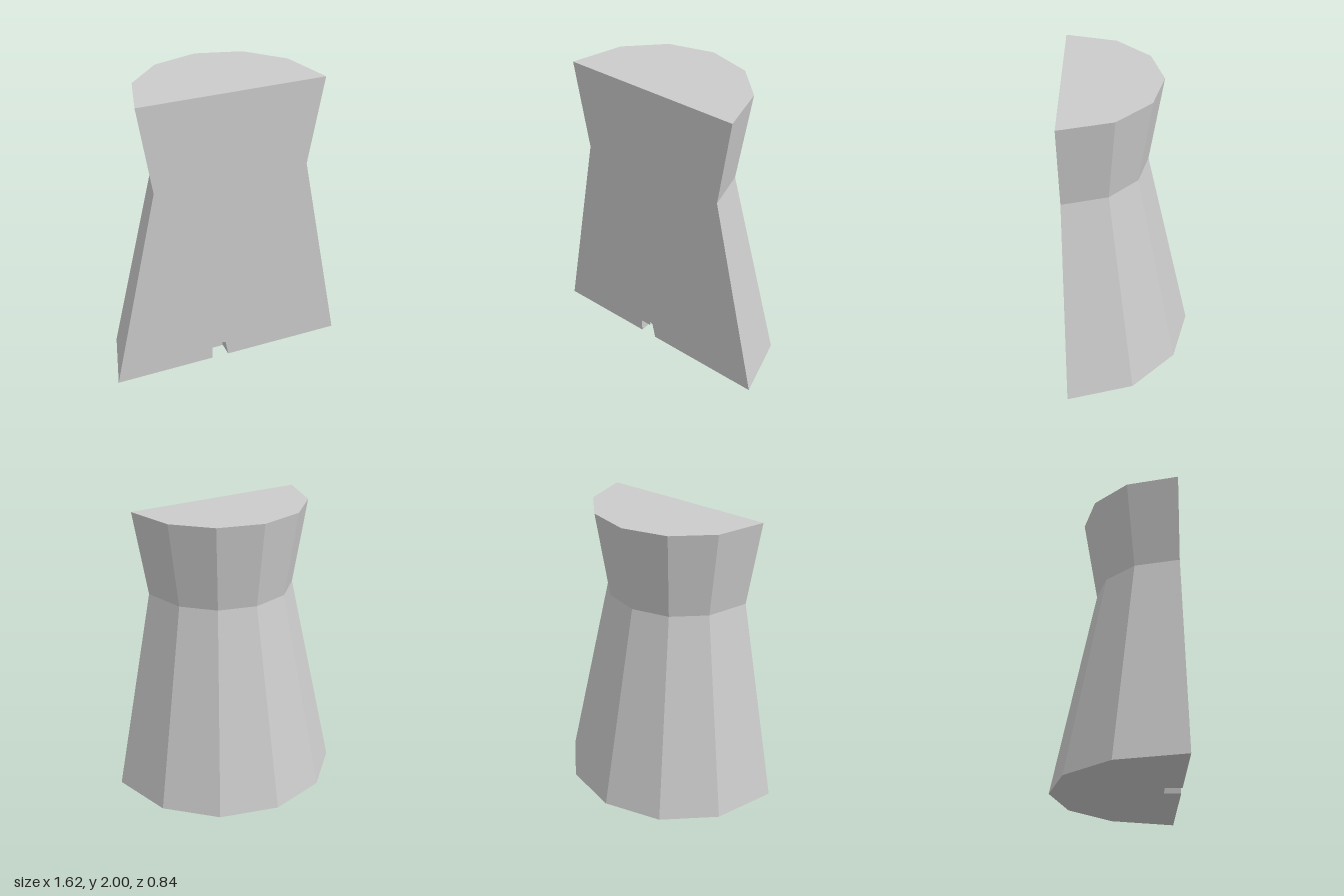
import * as THREE from 'three';

const FRONT = 0.42, AXIS_Z = 0.38, NOTCH_BACK = 0.31;
// height and radius of each ring of the twelve-sided tower
const RINGS = [[0, 0.8], [1.415, 0.505], [2, 0.6]];
// notch outline, from its right foot over to its left foot
const NOTCH = [[-0.01, 0], [-0.03, 0.11], [-0.055, 0.12], [-0.055, 0.09], [-0.13, 0.09], [-0.13, 0]];

const halfWidth = (r) => r + (FRONT - AXIS_Z) * Math.tan(Math.PI / 12);

// Half ring from the +x front corner round the back to the -x front corner
function ring([y, r]) {
  const pts = [new THREE.Vector3(halfWidth(r), y, FRONT)];
  for (let i = 1; i < 6; i++) {
    const a = (i * Math.PI) / 6;
    pts.push(new THREE.Vector3(r * Math.cos(a), y, AXIS_Z - r * Math.sin(a)));
  }
  pts.push(new THREE.Vector3(-halfWidth(r), y, FRONT));
  return pts;
}

// Skin of quads between successive rows of points
function loft(rows) {
  const pts = [];
  for (let j = 0; j < rows.length - 1; j++) {
    for (let i = 0; i < rows[j].length - 1; i++) {
      const a = rows[j][i], b = rows[j][i + 1], c = rows[j + 1][i + 1], d = rows[j + 1][i];
      pts.push(a, b, c, a, c, d);
    }
  }
  const geo = new THREE.BufferGeometry().setFromPoints(pts);
  geo.computeVertexNormals();
  return geo;
}

const flat = (pts) => new THREE.ShapeGeometry(new THREE.Shape(pts.map(([x, y]) => new THREE.Vector2(x, y))));

export function createModel() {
  const group = new THREE.Group();
  const material = new THREE.MeshStandardMaterial({ color: 0xcccccc, flatShading: true });
  const add = (name, geo) => {
    const mesh = new THREE.Mesh(geo, material);
    mesh.name = name;
    group.add(mesh);
  };

  // Faceted curved wall
  const rows = RINGS.map(ring);
  add('towerWall', loft(rows));

  // Flat cut front with the notch in its lower edge
  const side = RINGS.map(([y, r]) => [halfWidth(r), y]);
  const mirrored = side.map(([x, y]) => [-x, y]).reverse();
  add('frontFace', flat([...side, ...mirrored, ...[...NOTCH].reverse()]).translate(0, 0, FRONT));

  // Top cap
  add('topCap', flat(rows[2].map((p) => [p.x, -p.z])).rotateX(-Math.PI / 2).translate(0, 2, 0));

  // Underside, cut out below the notch
  const foot = rows[0].map((p) => [p.x, p.z]);
  const cut = [[-0.13, FRONT], [-0.13, NOTCH_BACK], [-0.01, NOTCH_BACK], [-0.01, FRONT]];
  add('underside', flat([...foot, ...cut]).rotateX(Math.PI / 2));

  // Walls and back of the notch
  const notchRow = (z) => NOTCH.map(([x, y]) => new THREE.Vector3(x, y, z));
  add('notchWalls', loft([notchRow(FRONT), notchRow(NOTCH_BACK)]));
  add('notchBack', flat(NOTCH).translate(0, 0, NOTCH_BACK));

  return group;
}
